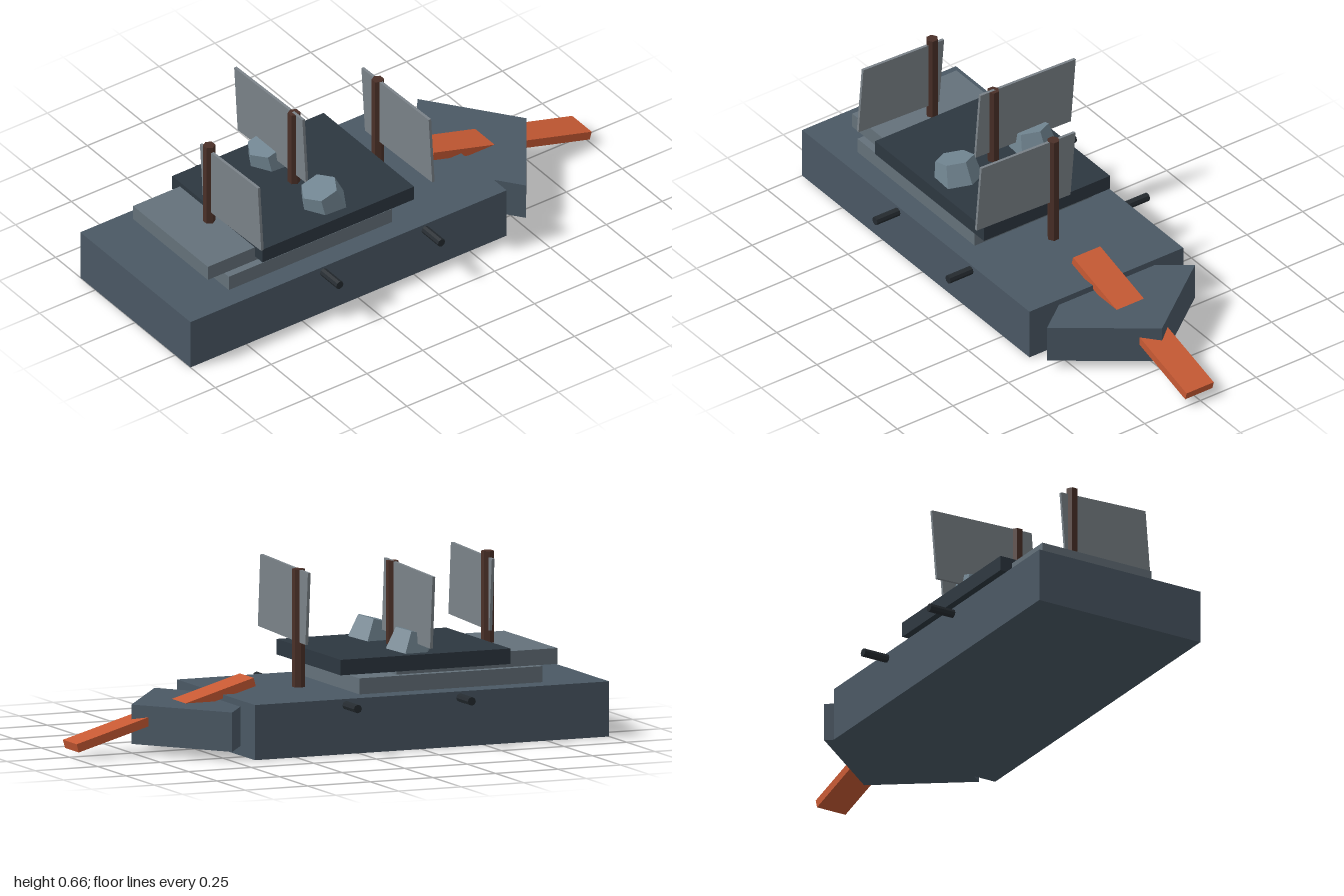
import * as THREE from 'three';

const material = (color, extra = {}) => {
  const m = new THREE.MeshStandardMaterial({ flatShading: true, ...extra });
  m.color.set(color);
  return m;
};
const hullMat = material(0x4a5864);
const darkMat = material(0x2d3740);
const tierMat = material(0x64717a);
const sailMat = material(0x7a8288, { side: THREE.DoubleSide });
const woodMat = material(0x4a3028);
const gunMat = material(0x252b30);
const cupMat = material(0x708490);
const plankMat = material(0xc85a34);

export function createModel() {
  const model = new THREE.Group();
  model.name = 'ship';

  const add = (name, geometry, mat, x = 0, y = 0, z = 0) => {
    const mesh = new THREE.Mesh(geometry, mat);
    mesh.name = name;
    mesh.position.set(x, y, z);
    model.add(mesh);
    return mesh;
  };
  // Box centred on x, given half width, y range and z range
  const slab = (name, mat, hw, y0, y1, z0, z1) =>
    add(name, new THREE.BoxGeometry(2 * hw, y1 - y0, z1 - z0), mat, 0, (y0 + y1) / 2, (z0 + z1) / 2);

  // Hull and stacked decks
  slab('hull', hullMat, 0.345, 0, 0.203, -0.415, 1);
  slab('lowerDeck', tierMat, 0.263, 0.203, 0.262, 0.04, 0.77);
  slab('middleDeck', tierMat, 0.234, 0.262, 0.32, 0.2, 0.843);
  slab('upperDeck', darkMat, 0.283, 0.281, 0.338, -0.045, 0.633);

  // Four-sided bow, turned slightly and stretched sideways
  const bow = new THREE.CylinderGeometry(1, 1, 0.145, 4);
  bow.rotateY(0.015).scale(0.335, 1, 0.25);
  add('bow', bow, hullMat, 0, 0.107, -0.505);

  // Sloping plank through the bow
  const plank = add('bowPlank', new THREE.BoxGeometry(0.122, 0.032, 0.735), plankMat, 0, 0.141, -0.641);
  plank.rotation.x = -0.277;

  // Guns reaching out on both sides
  for (const z of [0.405, -0.05]) {
    const gun = new THREE.CylinderGeometry(0.016, 0.016, 0.896, 8).rotateZ(Math.PI / 2);
    add('guns', gun, gunMat, 0, 0.18, z);
  }

  // Masts with leaning sails: left and right are the top corners of each sail
  const rigs = [
    { z: 0.67, base: 0.32, top: 0.658, left: -0.05, right: 0.312 },
    { z: 0.29, base: 0.338, top: 0.645, left: -0.367, right: 0.06 },
    { z: -0.085, base: 0.203, top: 0.638, left: -0.095, right: 0.326 },
  ];
  for (const { z, base, top, left, right } of rigs) {
    const mast = new THREE.CylinderGeometry(0.023, 0.023, top - base, 6).rotateY(Math.PI / 6);
    add('mast', mast, woodMat, 0, (base + top) / 2, z);

    const lean = 0.022, rise = 0.013;
    const shape = new THREE.Shape([
      new THREE.Vector2(left + lean, 0.367),
      new THREE.Vector2(right + lean, 0.367 + rise),
      new THREE.Vector2(right, 0.634 + rise),
      new THREE.Vector2(left, 0.634),
    ]);
    const sail = new THREE.ExtrudeGeometry(shape, { depth: 0.011, bevelEnabled: false });
    add('sail', sail, sailMat, 0, 0, z - 0.0055);
  }

  // Tapered funnels tilted towards the front
  for (const side of [-1, 1]) {
    const funnel = add('funnel', new THREE.CylinderGeometry(0.072, 0.09, 0.085, 6), cupMat, side * 0.167, 0.367, 0.286);
    funnel.rotation.x = 0.27;
  }

  return model;
}
